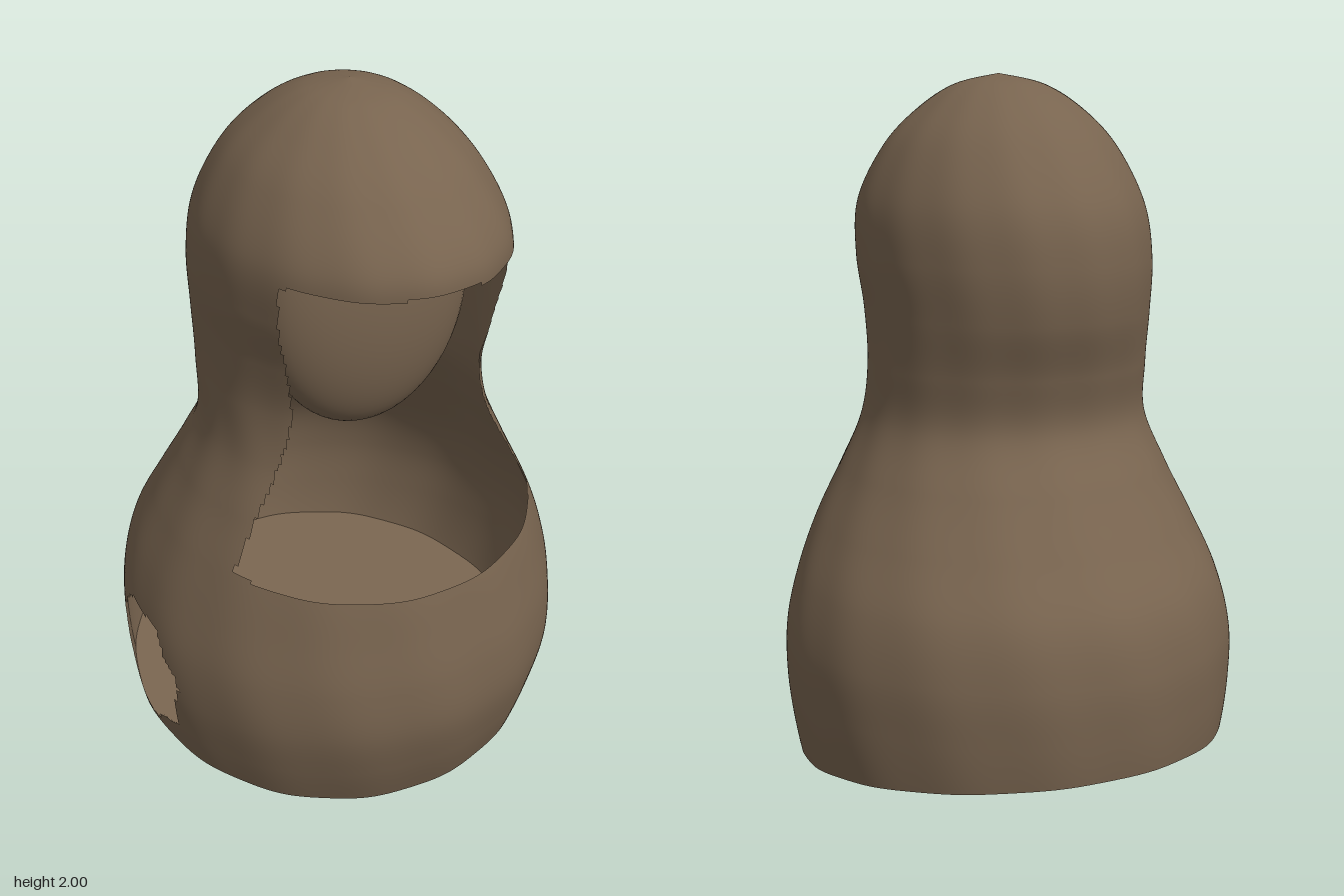
import * as THREE from 'three';

// Outline of the hooded shell: height, half width, front z, back z
const PROFILE = [
  [-0.15, 0.56, 0.5, -0.56], [0, 0.6, 0.565, -0.6], [0.15, 0.63, 0.62, -0.637], [0.3, 0.646, 0.655, -0.655],
  [0.45, 0.643, 0.652, -0.655], [0.6, 0.607, 0.625, -0.62], [0.75, 0.545, 0.59, -0.525],
  [0.9, 0.472, 0.53, -0.425], [1.05, 0.411, 0.46, -0.337], [1.2, 0.397, 0.44, -0.357],
  [1.35, 0.397, 0.5, -0.405], [1.5, 0.406, 0.568, -0.42], [1.65, 0.39, 0.588, -0.392],
  [1.8, 0.32, 0.485, -0.295], [1.9, 0.23, 0.37, -0.185], [1.97, 0.125, 0.24, -0.05], [2, 0, 0.1, 0.1],
];
const curves = [1, 2, 3].map(k => new THREE.SplineCurve(PROFILE.map(r => new THREE.Vector2(r[k], r[0]))));

// Point on the shell at height parameter u and angle a (a = 0 is the front)
function shellPoint(u, a) {
  const [w, f, b] = curves.map(c => c.getPoint(u));
  const ripple = 1 + 0.003 * Math.sin(15 * a + 6 * w.y);
  const lean = -0.014 * THREE.MathUtils.smoothstep(w.y, 0.6, 1.2);
  return new THREE.Vector3(
    lean + w.x * Math.sin(a) * ripple,
    w.y,
    (f.x + b.x) / 2 + (f.x - b.x) / 2 * Math.cos(a) * ripple);
}

// The base is cut by a plane that rises towards the back
const floorY = z => 0.15 * (0.565 - z);

function floorParameter(a) {
  let lo = 0, hi = 0.4;
  for (let i = 0; i < 24; i++) {
    const mid = (lo + hi) / 2, p = shellPoint(mid, a);
    if (p.y < floorY(p.z)) lo = mid; else hi = mid;
  }
  return hi;
}

// Front window, and the broken hole low on the right side
function isOpen(p) {
  const back = 0.3 + Math.max(0, p.y - 1.05) * 0.11;
  const inWindow = p.z > back && p.y < 1.61 && p.y > 0.76 - (p.z - 0.3) * 0.133;
  const dz = p.z / 0.19, dy = (p.y - 0.3) / 0.19;
  const ragged = 1 + 0.12 * Math.sin(7 * Math.atan2(dy, dz));
  return inWindow || (p.x < -0.3 && dz * dz + dy * dy < ragged);
}

function makeGeometry(points, index) {
  const g = new THREE.BufferGeometry().setFromPoints(points);
  g.setIndex(index);
  g.computeVertexNormals();
  return g;
}

export function createModel() {
  const group = new THREE.Group();
  const brown = new THREE.MeshStandardMaterial({ name: 'brown', color: 0x78644f, side: THREE.DoubleSide });
  const add = (name, geometry) => {
    const mesh = new THREE.Mesh(geometry, brown);
    mesh.name = name;
    group.add(mesh);
    return mesh;
  };

  // Thin hooded shell with its openings
  const N = 280, M = 230, points = [], index = [];
  const angles = Array.from({ length: N }, (_, i) => i / N * Math.PI * 2 + Math.PI);
  const starts = angles.map(floorParameter);
  for (let j = 0; j <= M; j++) {
    for (let i = 0; i < N; i++) points.push(shellPoint(starts[i] + (1 - starts[i]) * j / M, angles[i]));
  }
  const centre = new THREE.Vector3();
  for (let j = 0; j < M; j++) {
    for (let i = 0; i < N; i++) {
      const a = j * N + i, b = j * N + (i + 1) % N, c = b + N, d = a + N;
      centre.copy(points[a]).add(points[b]).add(points[c]).add(points[d]).multiplyScalar(0.25);
      if (!isOpen(centre)) index.push(a, b, c, a, c, d);
    }
  }
  add('hoodedShell', makeGeometry(points, index));

  // Sloping underside
  const rim = points.slice(0, N), fan = [];
  for (let i = 0; i < N; i++) fan.push(N, (i + 1) % N, i);
  add('underside', makeGeometry([...rim, new THREE.Vector3(0, floorY(0), 0)], fan));

  // Smooth oval face inside the hood
  const face = add('face', new THREE.SphereGeometry(1, 48, 32));
  face.scale.set(0.305, 0.4, 0.15);
  face.position.set(-0.012, 1.455, 0.18);

  return group;
}
